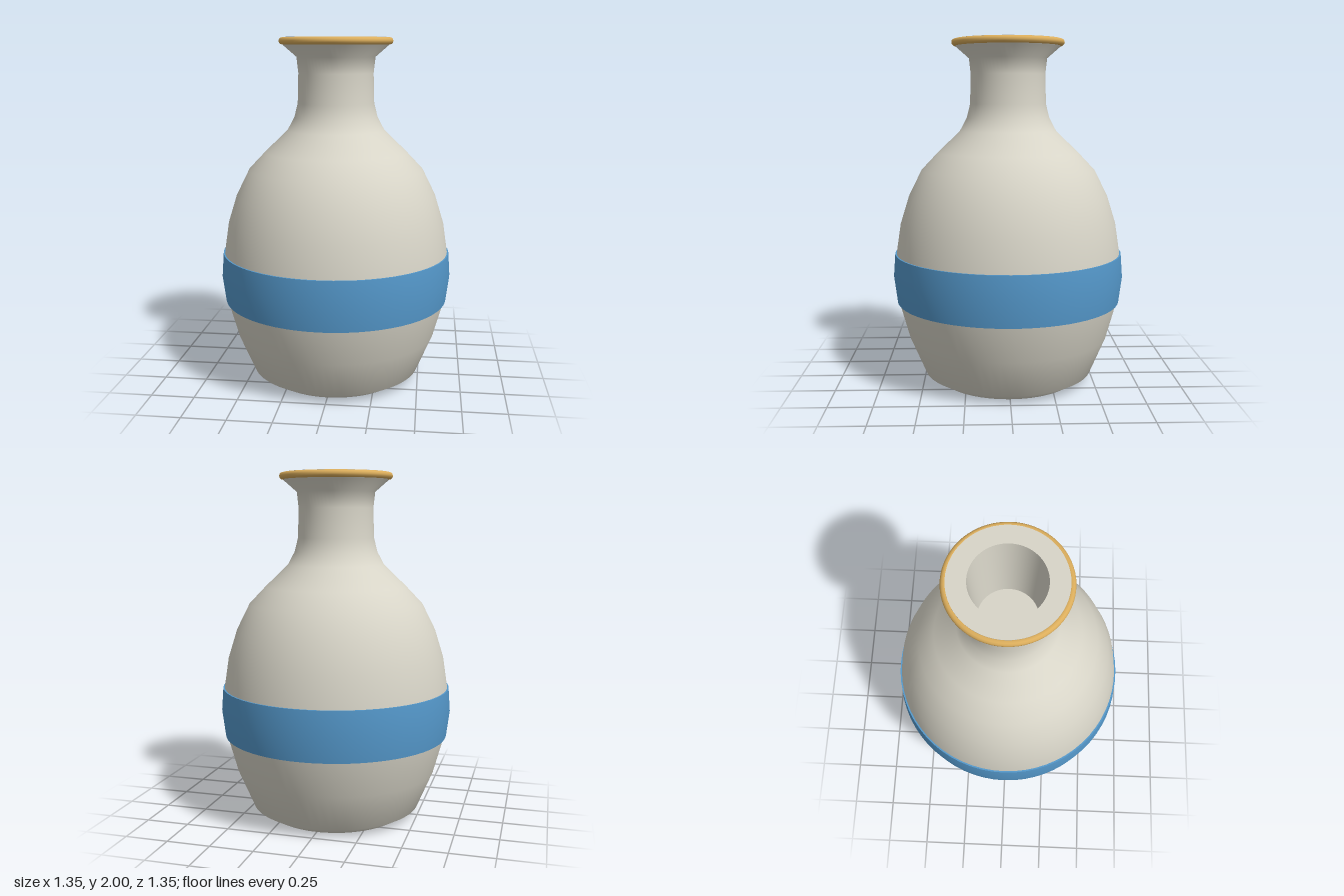
import * as THREE from 'three';

const SIDES = 64;

function material(name, color) {
  const m = new THREE.MeshStandardMaterial({ color });
  m.name = name;
  return m;
}

// Turns [radius, height] points; running upwards faces outwards
function turned(name, points, mat) {
  const profile = points.map(([r, y]) => new THREE.Vector2(r, y));
  const mesh = new THREE.Mesh(new THREE.LatheGeometry(profile, SIDES), mat);
  mesh.name = name;
  return mesh;
}

export function createModel() {
  const clay = material('warm grey clay', 0xd8d5c8);
  const blue = material('blue glaze', 0x5599cc);
  const gold = material('gold trim', 0xdcae5c);
  const vase = new THREE.Group();
  vase.name = 'vase';

  // Outer wall from foot to flared lip
  vase.add(turned('body', [
    [0.41, 0], [0.495, 0.05], [0.588, 0.27], [0.646, 0.48], [0.667, 0.63],
    [0.656, 0.77], [0.63, 0.94], [0.58, 1.1], [0.505, 1.25], [0.41, 1.35],
    [0.28, 1.475], [0.24, 1.55], [0.22, 1.63], [0.215, 1.8], [0.225, 1.89],
    [0.3, 1.955], [0.3, 2],
  ], clay));

  // Flat faces and the tapered mouth, kept apart for sharp edges
  vase.add(turned('base', [[0, 0], [0.41, 0]], clay));
  vase.add(turned('lip', [[0.3, 2], [0.198, 2]], clay));
  vase.add(turned('mouthWall', [[0.198, 2], [0.165, 1.55]], clay));
  vase.add(turned('mouthFloor', [[0.165, 1.55], [0, 1.55]], clay));

  // Painted band around the belly, with its thin edges
  const band = [[0.656, 0.48], [0.675, 0.63], [0.665, 0.765]];
  vase.add(turned('band', band, blue));
  vase.add(turned('bandLowerEdge', [[0.645, 0.48], band[0]], blue));
  vase.add(turned('bandUpperEdge', [band[2], [0.655, 0.765]], blue));

  // Rounded ring around the lip
  const ring = new THREE.Mesh(new THREE.TorusGeometry(0.305, 0.02, 12, SIDES), gold);
  ring.name = 'lipRing';
  ring.rotation.x = Math.PI / 2;
  ring.position.y = 1.979;
  vase.add(ring);

  return vase;
}
